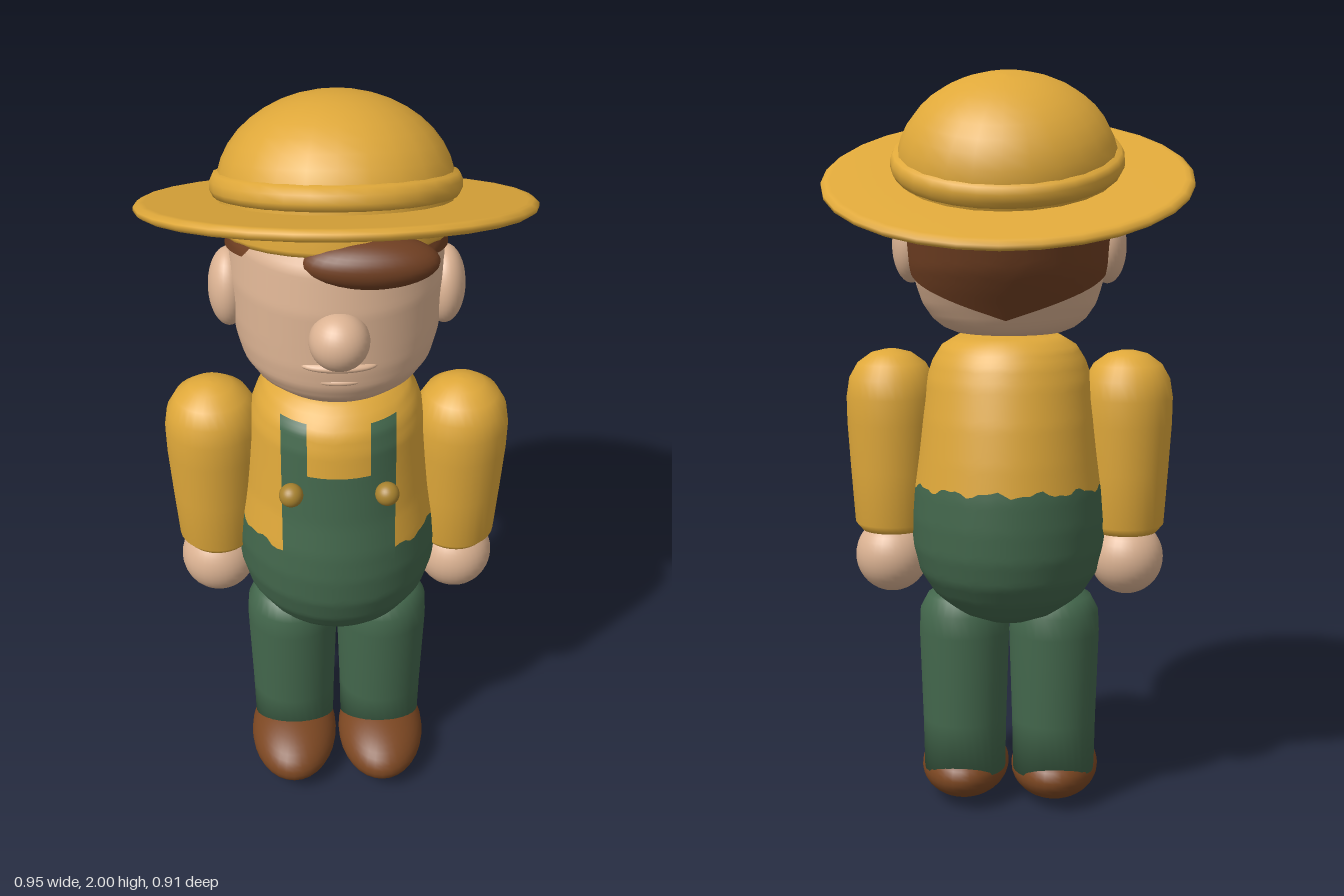
import * as THREE from 'three';

const mat = (name, color) => Object.assign(new THREE.MeshStandardMaterial({ color }), { name });

// Smooth grid surface: fn(u, v) -> [x, y, z]; wrap joins the last column to the first
function grid(nu, nv, fn, wrap) {
  const pos = [], idx = [], cols = wrap ? nu : nu + 1;
  for (let j = 0; j <= nv; j++)
    for (let i = 0; i < cols; i++) pos.push(...fn(i / nu, j / nv));
  for (let j = 0; j < nv; j++)
    for (let i = 0; i < nu; i++) {
      const a = j * cols + i, b = j * cols + (i + 1) % cols;
      idx.push(a, b, b + cols, a, b + cols, a + cols);
    }
  const g = new THREE.BufferGeometry();
  g.setAttribute('position', new THREE.Float32BufferAttribute(pos, 3));
  g.setIndex(idx);
  g.computeVertexNormals();
  return g;
}

// Elliptical cross-section at height y from rows of [y, halfWidth, centreZ, halfDepth]
function section(rows, y) {
  let i = 0;
  while (i < rows.length - 2 && y > rows[i + 1][0]) i++;
  const a = rows[i], b = rows[i + 1];
  const t = THREE.MathUtils.clamp((y - a[0]) / (b[0] - a[0]), 0, 1);
  return [1, 2, 3].map(k => a[k] + (b[k] - a[k]) * t);
}

// Closed loft around the rows between two heights that may vary with angle (0 = front)
function loft(rows, low, high, grow = 0, nu = 64, nv = 28) {
  return grid(nu, nv, (u, v) => {
    const t = u * Math.PI * 2, y0 = low(t), y = y0 + (high(t) - y0) * v;
    const [rx, cz, rz] = section(rows, y);
    return [Math.sin(t) * (rx + grow), y, cz + Math.cos(t) * (rz + grow)];
  }, true);
}

const BODY = [
  [0.53, 0, 0.07, 0], [0.54, 0.07, 0.07, 0.08], [0.57, 0.145, 0.07, 0.15], [0.62, 0.205, 0.07, 0.21],
  [0.68, 0.243, 0.07, 0.25], [0.75, 0.261, 0.072, 0.27], [0.83, 0.265, 0.072, 0.274], [0.91, 0.259, 0.07, 0.27],
  [1.0, 0.246, 0.067, 0.256], [1.1, 0.235, 0.07, 0.242], [1.2, 0.222, 0.078, 0.225], [1.25, 0.205, 0.08, 0.21],
  [1.29, 0.18, 0.075, 0.18], [1.32, 0.13, 0.07, 0.14], [1.33, 0, 0.07, 0]];
const HEAD = [
  [1.315, 0, 0.09, 0], [1.318, 0.1, 0.09, 0.13], [1.33, 0.165, 0.09, 0.17], [1.36, 0.205, 0.093, 0.198],
  [1.4, 0.232, 0.09, 0.22], [1.45, 0.247, 0.076, 0.239], [1.5, 0.256, 0.061, 0.253], [1.6, 0.262, 0.045, 0.268],
  [1.7, 0.255, 0.035, 0.262], [1.8, 0.215, 0.015, 0.22], [1.87, 0.14, 0, 0.14], [1.9, 0, 0, 0]];
// Lower hair edge: [degrees from the front, height]
const HAIRLINE = [[0, 1.78], [45, 1.76], [56, 1.69], [92, 1.65], [101, 1.48], [180, 1.37]];

function hairline(t) {
  let d = THREE.MathUtils.radToDeg(t);
  if (d > 180) d = 360 - d;
  let i = 0;
  while (i < HAIRLINE.length - 2 && d > HAIRLINE[i + 1][0]) i++;
  const [a, b] = [HAIRLINE[i], HAIRLINE[i + 1]];
  return a[1] + (b[1] - a[1]) * (d - a[0]) / (b[0] - a[0]);
}

// Slightly ragged line where the overalls meet the shirt
const hem = t => 0.917 - 0.015 * Math.cos(t) + 0.007 * Math.sin(13 * t) + 0.004 * Math.sin(29 * t);

// Piece of cloth lying on the front of the body
const cloth = (x0, x1, y0, y1) => grid(12, 16, (u, v) => {
  const x = x0 + (x1 - x0) * u, y = y0 + (y1 - y0) * v;
  const [rx, cz, rz] = section(BODY, y);
  return [x, y, cz + rz * Math.sqrt(1 - (x / rx) ** 2) + 0.006];
}, false);

const lathe = (pts, n = 32) => new THREE.LatheGeometry(pts.map(p => new THREE.Vector2(...p)), n);

export function createModel() {
  const gold = mat('straw and shirt yellow', 0xdfa83a);
  const green = mat('overall green', 0x43674c);
  const skin = mat('skin', 0xdcb393);
  const brown = mat('shoe brown', 0x7c4722);
  const hairBrown = mat('hair brown', 0x703f22);
  const brass = mat('button brass', 0xa9832f);

  const model = new THREE.Group();
  model.name = 'farmer';
  const add = (name, geo, material, parent = model) => {
    const m = new THREE.Mesh(geo, material);
    m.name = name;
    parent.add(m);
    return m;
  };
  const ball = (name, material, [x, y, z], [rx, ry, rz]) => {
    const m = add(name, new THREE.SphereGeometry(1, 32, 20), material);
    m.position.set(x, y, z);
    m.scale.set(rx, ry, rz);
    return m;
  };

  // Torso and overalls
  add('trouserSeat', loft(BODY, () => 0.53, hem, 0, 96, 30), green);
  add('shirt', loft(BODY, hem, () => 1.33, 0, 96, 30), gold);
  add('bib', cloth(-0.142, 0.142, 0.88, 1.14), green);

  // Limbs and paired details
  const armGeo = lathe([[0, 0.78], [0.085, 0.783], [0.103, 0.805], [0.113, 0.95], [0.121, 1.08], [0.122, 1.15],
    [0.114, 1.2], [0.092, 1.239], [0.055, 1.266], [0.02, 1.275], [0, 1.276]]);
  const legGeo = lathe([[0, 0.09], [0.113, 0.1], [0.116, 0.25], [0.124, 0.5], [0.121, 0.56], [0.1, 0.6],
    [0.06, 0.623], [0, 0.632]]);
  for (const s of [1, -1]) {
    const side = s > 0 ? 'left' : 'right';
    add(side + 'Strap', cloth(s > 0 ? 0.078 : -0.142, s > 0 ? 0.142 : -0.078, 1.135, 1.27), green);
    ball(side + 'Button', brass, [s * 0.118, 1.1, 0.322], [0.03, 0.03, 0.03]);
    add(side + 'Sleeve', armGeo, gold).position.set(s * 0.317, 0, 0.078);
    ball(side + 'Hand', skin, [s * 0.32, 0.712, 0.072], [0.1, 0.102, 0.101]);
    add(side + 'Leg', legGeo, green).position.set(s * 0.124, 0, 0.08);
    ball(side + 'Shoe', brown, [s * 0.126, 0.09, 0.137], [0.122, 0.086, 0.188]).rotation.x = 0.04;
    ball(side + 'Ear', skin, [s * 0.26, 1.55, 0.075], [0.05, 0.098, 0.073]).rotation.x = -0.15;
  }

  // Head and face
  add('head', loft(HEAD, () => 1.315, () => 1.9, 0, 64, 50), skin);
  add('hair', loft(HEAD, hairline, () => 1.85, 0.008, 120, 24), hairBrown).material.side = THREE.DoubleSide;
  ball('fringe', hairBrown, [0.07, 1.71, 0.25], [0.16, 0.06, 0.075]);
  ball('nose', skin, [0, 1.54, 0.315], [0.071, 0.071, 0.07]);
  ball('upperLip', skin, [0, 1.462, 0.29], [0.092, 0.016, 0.034]);
  ball('lowerLip', skin, [0, 1.42, 0.285], [0.07, 0.014, 0.03]);

  // Straw hat, tipped back
  const hat = new THREE.Group();
  hat.name = 'hat';
  hat.position.y = 1.727;
  hat.rotation.x = -0.332;
  model.add(hat);
  add('brim', lathe([[0.2, -0.014], [0.455, -0.014], [0.468, -0.013], [0.48, -0.005], [0.48, 0.005],
    [0.468, 0.013], [0.455, 0.014], [0.2, 0.014]], 30), gold, hat);
  const dome = [[0.28, 0]];
  for (let i = 0; i <= 10; i++) {
    const a = i / 10 * Math.PI / 2;
    dome.push([0.285 * Math.cos(a), 0.04 + 0.228 * Math.sin(a)]);
  }
  add('crown', lathe(dome, 24), gold, hat);
  add('hatBand', lathe([[0.27, 0.018], [0.292, 0.024], [0.3, 0.04], [0.3, 0.06], [0.292, 0.077], [0.265, 0.084]], 30), gold, hat);
  const cuff = add('hatCuff', lathe([[0.25, -0.06], [0.272, -0.058], [0.279, -0.045], [0.279, 0.01]], 30), gold, hat);
  cuff.rotation.x = 0.1;

  return model;
}
